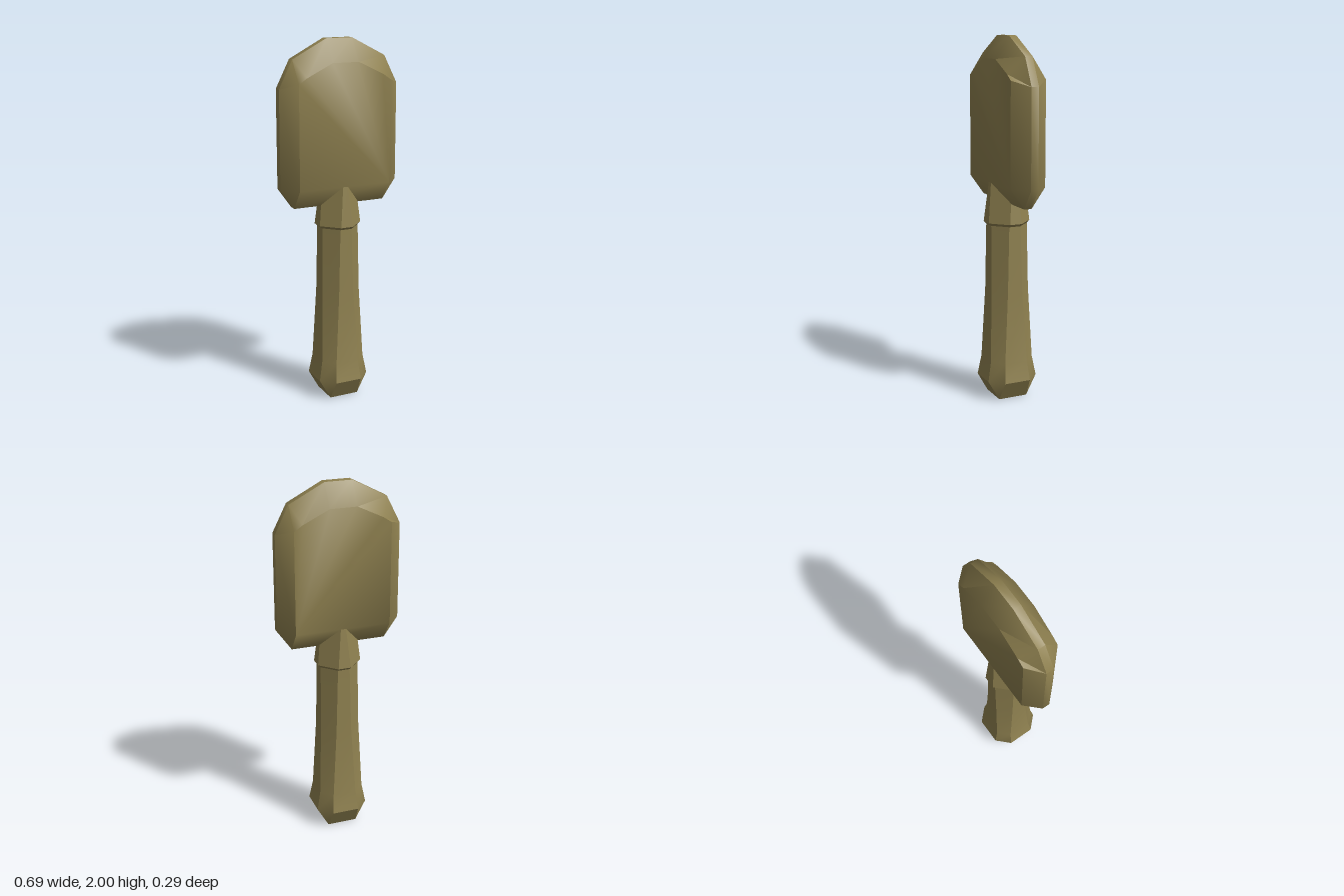
import * as THREE from 'three';
import { toCreasedNormals } from 'three/addons/utils/BufferGeometryUtils.js';

// Skin a stack of rings (counter-clockwise about the stacking axis) and cap both ends.
function loft(rings) {
  const pos = [];
  const tri = (a, b, c) => {
    if (a.equals(b) || b.equals(c) || a.equals(c)) return;
    pos.push(...a.toArray(), ...b.toArray(), ...c.toArray());
  };
  const n = rings[0].length;
  for (let i = 0; i < rings.length - 1; i++) {
    for (let j = 0; j < n; j++) {
      const k = (j + 1) % n;
      const a = rings[i][j], b = rings[i][k], c = rings[i + 1][k], d = rings[i + 1][j];
      tri(a, b, c);
      tri(a, c, d);
    }
  }
  const first = rings[0], last = rings[rings.length - 1];
  for (let j = 1; j < n - 1; j++) {
    tri(first[0], first[j + 1], first[j]);
    tri(last[0], last[j], last[j + 1]);
  }
  const geometry = new THREE.BufferGeometry();
  geometry.setAttribute('position', new THREE.Float32BufferAttribute(pos, 3));
  return toCreasedNormals(geometry, 0.65);
}

// Chamfered square at height y: half width r, half length h of each flat side.
function octagon(y, r, h) {
  const ring = [];
  let pair = [[r, -h], [r, h]];
  for (let q = 0; q < 4; q++) {
    pair.forEach(([z, x]) => ring.push(new THREE.Vector3(x, y, z)));
    pair = pair.map(([z, x]) => [-x, z]);
  }
  return ring;
}

// Mirrored head outline at depth z, from its right half listed bottom to top.
function outline(half, z) {
  const right = half.map(([x, y]) => new THREE.Vector3(x, y, z));
  const left = half.map(([x, y]) => new THREE.Vector3(-x, y, z)).reverse();
  return [...right, ...left];
}

export function createModel() {
  const group = new THREE.Group();
  const olive = new THREE.MeshStandardMaterial({ color: 0x8f8150 });
  olive.name = 'olive';

  const add = (name, rings) => {
    const mesh = new THREE.Mesh(loft(rings), olive);
    mesh.name = name;
    group.add(mesh);
  };

  // Flat head with a wide bevel around a narrow rim
  const rim = [[0.265, 1.11], [0.343, 1.22], [0.343, 1.75], [0.267, 1.9], [0.075, 2]];
  const face = [[0.265, 1.22], [0.265, 1.22], [0.265, 1.78], [0.22, 1.81], [0.075, 1.88]];
  add('head', [outline(face, -0.1), outline(rim, -0.021), outline(rim, 0.021), outline(face, 0.1)]);

  // Eight-sided grip flaring to a faceted pommel
  add('handle', [
    octagon(0, 0.083, 0.083),
    octagon(0.11, 0.146, 0.076),
    octagon(0.22, 0.126, 0.066),
    octagon(0.62, 0.111, 0.043),
    octagon(1, 0.107, 0.033),
  ]);

  // Tapered collar that sinks into the head
  add('collar', [
    octagon(0.985, 0.107, 0.033),
    octagon(1, 0.122, 0.035),
    octagon(1.225, 0.099, 0.014),
  ]);

  return group;
}
